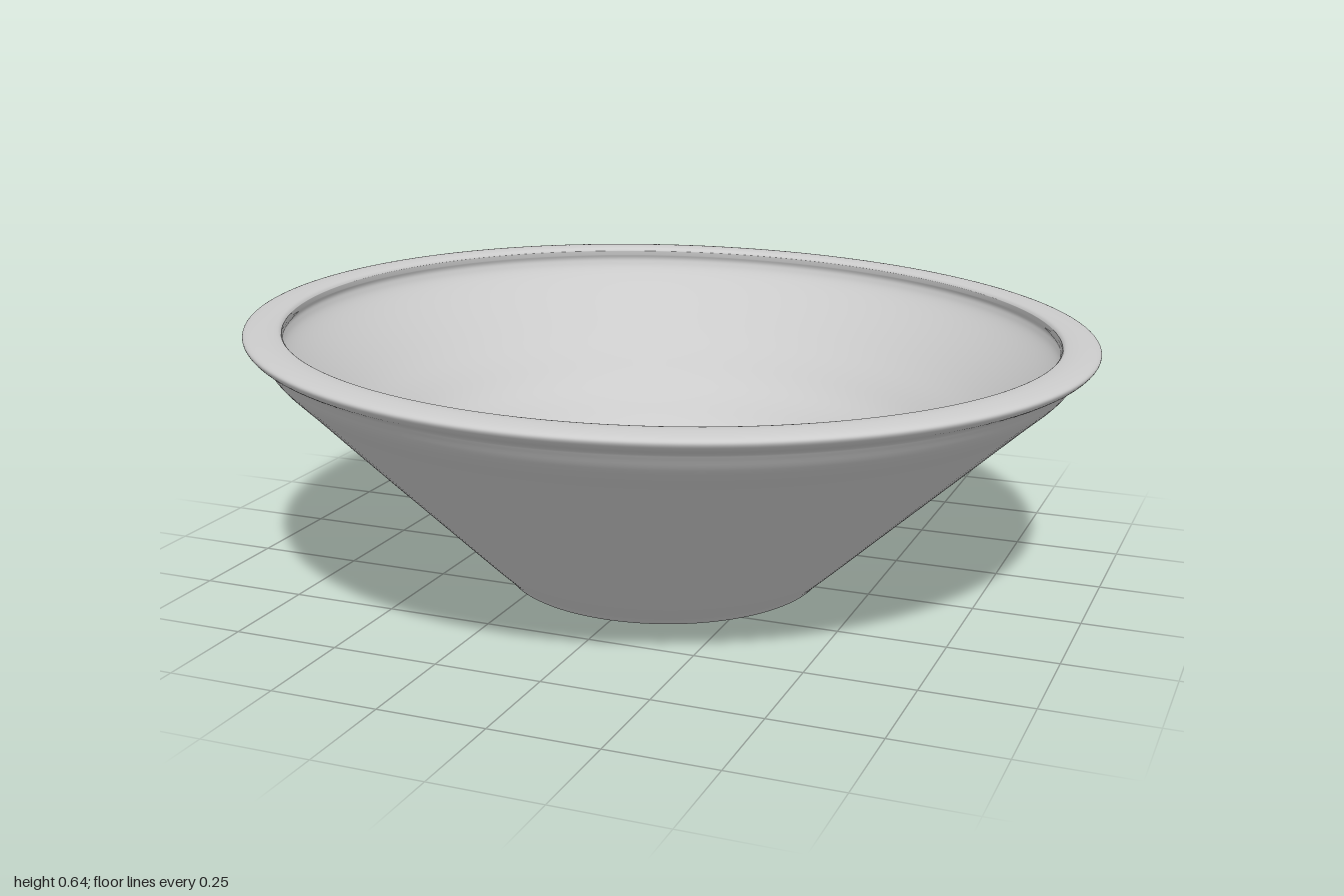
import * as THREE from 'three';

const points = (list) => list.map(([r, y]) => new THREE.Vector2(r, y));

export function createModel() {
  const group = new THREE.Group();
  group.name = 'bowl';
  const material = new THREE.MeshStandardMaterial({ color: 0xcccccc, side: THREE.DoubleSide });

  // Flat foot with a tight rounded edge
  const foot = points([[0, 0.006], [0.2, 0.006], [0.37, 0.006], [0.383, 0.008], [0.389, 0.015]]);

  // Flaring outer wall, groove under the lip, rounded lip and flat rim top
  const outside = new THREE.SplineCurve(points([
    [0.393, 0.02], [0.45, 0.073], [0.58, 0.198], [0.73, 0.342], [0.86, 0.468], [0.925, 0.53],
    [0.951, 0.566], [0.962, 0.58], [0.985, 0.594], [0.996, 0.607], [0.993, 0.616], [0.975, 0.622],
    [0.945, 0.625], [0.917, 0.622], [0.908, 0.614],
  ])).getPoints(70);

  // Inner wall curving into the floor, with faint throwing rings
  const inside = new THREE.SplineCurve(points([
    [0.91, 0.603], [0.912, 0.585], [0.89, 0.55], [0.8, 0.462], [0.7, 0.368], [0.58, 0.256],
    [0.46, 0.152], [0.36, 0.092], [0.25, 0.066], [0.12, 0.058], [0, 0.057],
  ])).getPoints(80);
  for (const p of inside) {
    const fade = THREE.MathUtils.smoothstep(p.x, 0.05, 0.2) * (1 - THREE.MathUtils.smoothstep(p.x, 0.55, 0.8));
    p.y += 0.003 * Math.sin(p.x * 55) * fade;
  }
  inside[inside.length - 1].x = 0;

  const geometry = new THREE.LatheGeometry([...foot, ...outside, ...inside], 128);

  // Hand-thrown irregularity: tilted rim and a slightly off-centre foot
  const pos = geometry.attributes.position;
  for (let i = 0; i < pos.count; i++) {
    const x = pos.getX(i), y = pos.getY(i), z = pos.getZ(i);
    const h = Math.min(y / 0.62, 1);
    const angle = Math.atan2(z, x);
    const wobble = 0.003 * Math.sin(2 * angle + 0.6) * h * Math.hypot(x, z);
    pos.setXYZ(
      i,
      x - 0.016 * (1 - h),
      y - x * (0.012 + 0.009 * h) + z * 0.007 * h + wobble,
      z * (1 - 0.003 * h) + 0.01 * (1 - h) - 0.004 * h,
    );
  }

  const bowl = new THREE.Mesh(geometry, material);
  bowl.name = 'bowlBody';
  group.add(bowl);
  return group;
}
